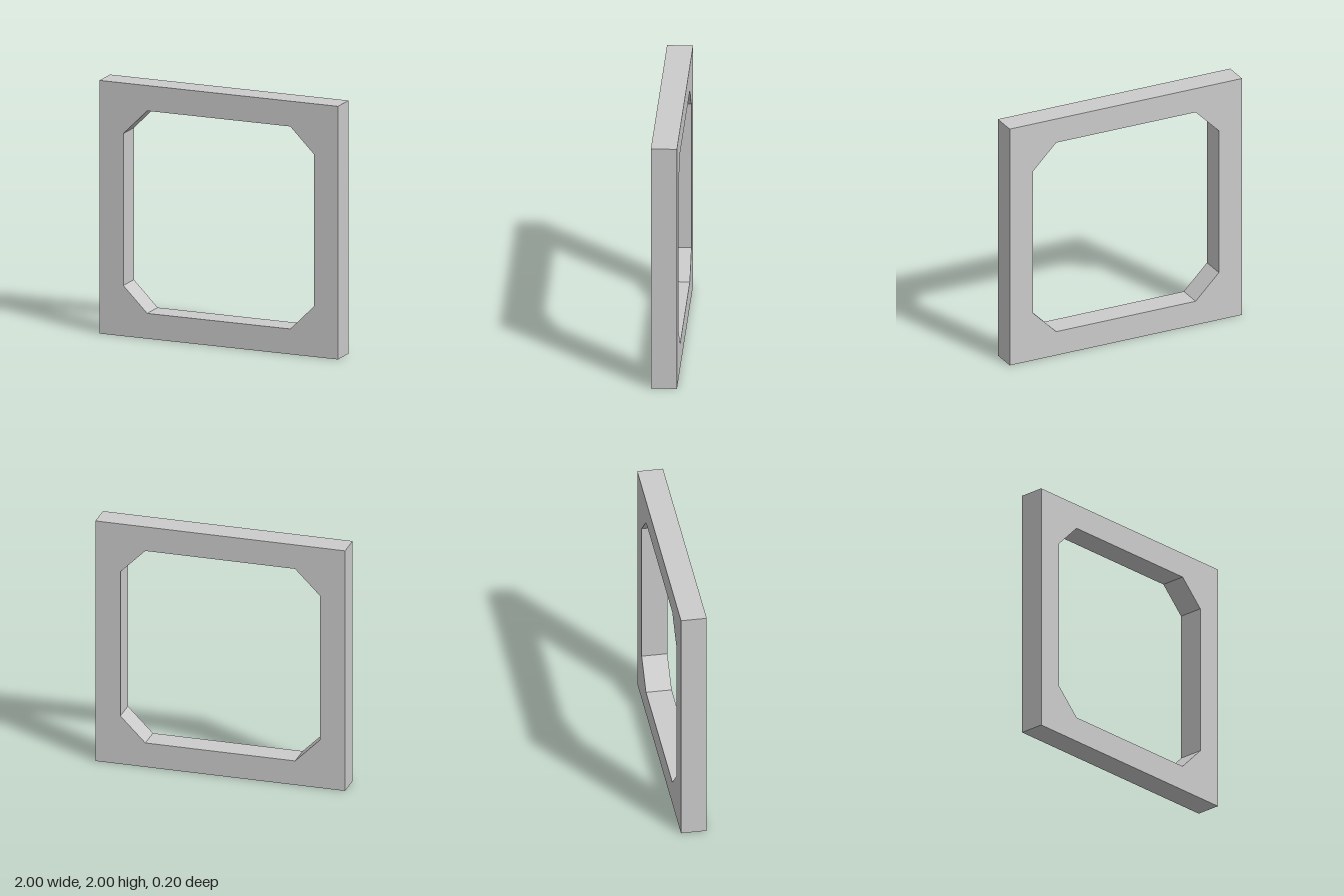
import * as THREE from 'three';

const SIZE = 2, DEPTH = 0.2, BORDER = 0.2, CHAMFER = 0.2;

export function createModel() {
  const group = new THREE.Group();
  group.name = 'squareFrame';

  // Outer square, standing on y = 0
  const h = SIZE / 2;
  const outline = new THREE.Shape([
    new THREE.Vector2(-h, 0),
    new THREE.Vector2(h, 0),
    new THREE.Vector2(h, SIZE),
    new THREE.Vector2(-h, SIZE),
  ]);

  // Opening with chamfered corners
  const a = h - BORDER, b = a - CHAMFER;
  const corners = [[a, b], [b, a], [-b, a], [-a, b], [-a, -b], [-b, -a], [b, -a], [a, -b]];
  outline.holes.push(new THREE.Path(corners.map(([x, y]) => new THREE.Vector2(x, y + h))));

  const geometry = new THREE.ExtrudeGeometry(outline, { depth: DEPTH, bevelEnabled: false });
  geometry.translate(0, 0, -DEPTH / 2);

  const frame = new THREE.Mesh(
    geometry,
    new THREE.MeshStandardMaterial({ color: 0xcccccc, flatShading: true })
  );
  frame.name = 'frame';
  group.add(frame);
  return group;
}
